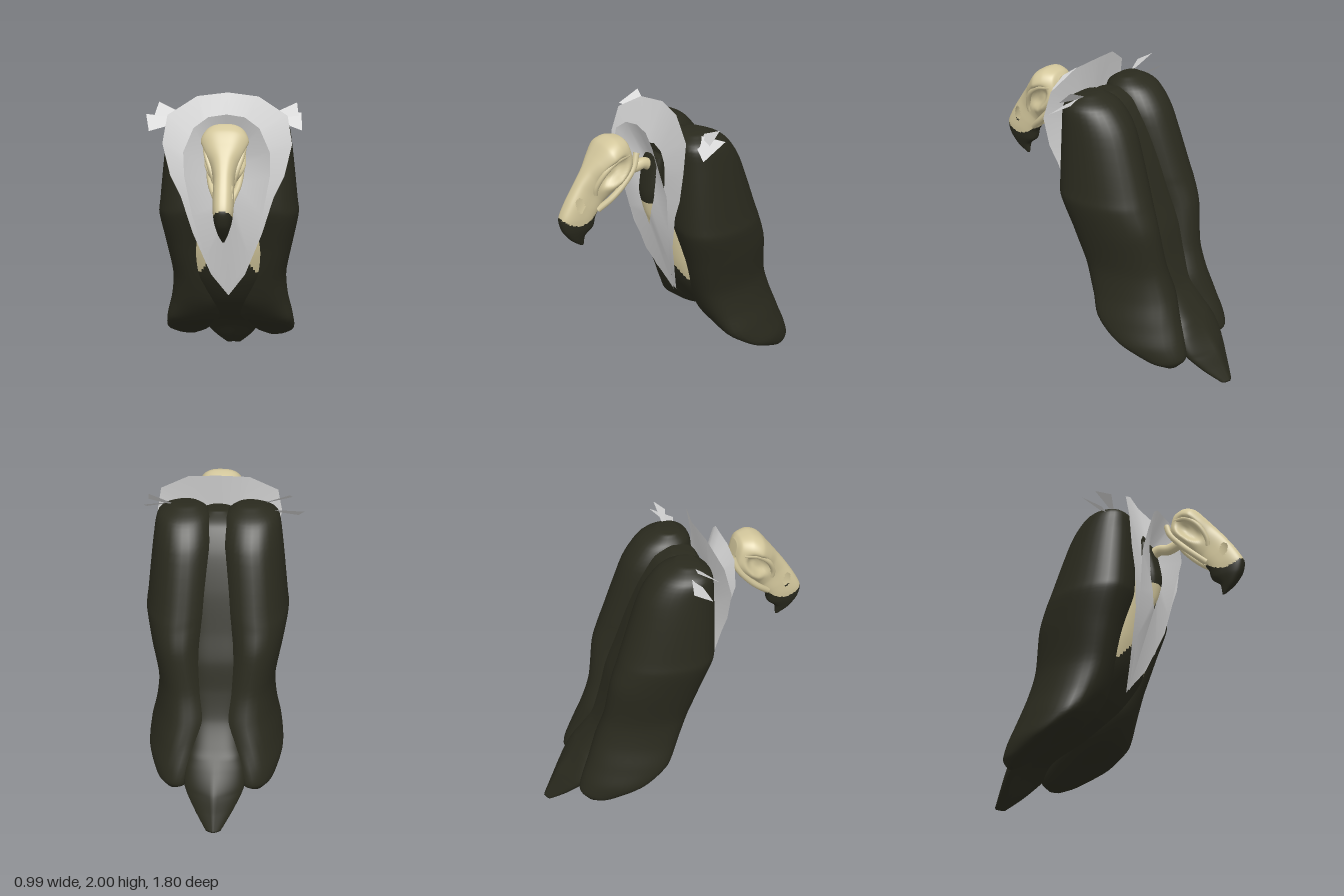
import * as THREE from 'three';

const mat = (name, color) => {
  const m = new THREE.MeshStandardMaterial({ color, side: THREE.DoubleSide });
  m.name = name;
  return m;
};

// Lofts rings between a front rail and a back rail.
// Station: [front z, front y, back z, back y, x min, x max].
// pick(centroid) gives the material index of a quad, or -1 for a hole.
function loft(stations, { steps = 40, sides = 32, power = 0.85, pick = () => 0, warp = () => {} } = {}) {
  const rail = (x, y, z) => new THREE.CatmullRomCurve3(
    stations.map(s => new THREE.Vector3(s[x], s[y], s[z])), false, 'catmullrom', 0.4);
  const front = rail(4, 1, 0), back = rail(5, 3, 2);
  const bend = v => Math.sign(v) * Math.abs(v) ** power;
  const pts = [];
  for (let i = 0; i <= steps; i++) {
    const f = front.getPoint(i / steps), b = back.getPoint(i / steps);
    for (let j = 0; j < sides; j++) {
      const a = (j / sides) * Math.PI * 2, c = bend(Math.cos(a)), s = bend(Math.sin(a));
      const p = new THREE.Vector3(
        (f.x + b.x) / 2 + c * (b.x - f.x) / 2,
        (f.y + b.y) / 2 + s * (f.y - b.y) / 2,
        (f.z + b.z) / 2 + s * (f.z - b.z) / 2);
      warp(p);
      pts.push(p);
    }
  }
  const lists = [[], []];
  const add = (...ids) => {
    const c = new THREE.Vector3();
    ids.forEach(i => c.addScaledVector(pts[i], 1 / ids.length));
    const k = pick(c);
    if (k < 0) return;
    lists[k].push(ids[0], ids[1], ids[2]);
    if (ids.length === 4) lists[k].push(ids[0], ids[2], ids[3]);
  };
  for (let i = 0; i < steps; i++) for (let j = 0; j < sides; j++) {
    const n = (j + 1) % sides, r = i * sides;
    add(r + j, r + n, r + sides + n, r + sides + j);
  }
  // end caps
  for (const start of [0, steps * sides]) {
    const c = new THREE.Vector3();
    for (let j = 0; j < sides; j++) c.addScaledVector(pts[start + j], 1 / sides);
    const id = pts.push(c) - 1;
    for (let j = 0; j < sides; j++) {
      const a = start + j, b = start + (j + 1) % sides;
      start === 0 ? add(id, b, a) : add(id, a, b);
    }
  }
  const g = new THREE.BufferGeometry().setFromPoints(pts);
  g.setIndex([...lists[0], ...lists[1]]);
  g.addGroup(0, lists[0].length, 0);
  g.addGroup(lists[0].length, lists[1].length, 1);
  g.computeVertexNormals();
  return g;
}

// Closed band between an outer rim and a neck hole, mirrored in x.
function collar(rim, hole) {
  const ring = half => [...half, ...half.slice(1, -1).reverse().map(([x, y, z]) => [-x, y, z])];
  const o = ring(rim), h = ring(hole), n = o.length, idx = [];
  for (let i = 0; i < n; i++) {
    const k = (i + 1) % n;
    idx.push(i, n + i, k, k, n + i, n + k);
  }
  const g = new THREE.BufferGeometry();
  g.setAttribute('position', new THREE.Float32BufferAttribute([...o, ...h].flat(), 3));
  g.setIndex(idx);
  g.computeVertexNormals();
  return g;
}

// Flat feather fanning out from a narrow base.
function feather(base, tipA, tipB) {
  const [b, A, B] = [base, tipA, tipB].map(p => new THREE.Vector3(...p));
  const half = B.clone().sub(A).multiplyScalar(0.14);
  const g = new THREE.BufferGeometry().setFromPoints([b.clone().sub(half), b.clone().add(half), B, A]);
  g.setIndex([0, 1, 2, 0, 2, 3]);
  g.computeVertexNormals();
  return g;
}

export function createModel() {
  const plumage = mat('darkPlumage', 0x2a2a1e);
  const bone = mat('bone', 0xd3c79c);
  const white = mat('whiteRuff', 0xdadada);
  const model = new THREE.Group();
  const bird = new THREE.Group();
  bird.name = 'bird';
  bird.position.x = 0.03;
  model.add(bird);
  const part = (name, geo, material) => {
    const m = new THREE.Mesh(geo, material);
    m.name = name;
    bird.add(m);
  };
  const { clamp } = THREE.MathUtils;

  // body and pointed tail, with a pale breast
  const bodyRows = [
    [0.17, 1.8, 0.03, 1.82, 0.07], [0.2, 1.75, -0.07, 1.76, 0.2], [0.21, 1.6, -0.16, 1.62, 0.26],
    [0.21, 1.4, -0.25, 1.4, 0.28], [0.2, 1.15, -0.335, 1.15, 0.28], [0.165, 0.95, -0.4, 0.97, 0.29],
    [0.095, 0.76, -0.45, 0.78, 0.28], [-0.04, 0.56, -0.515, 0.6, 0.22], [-0.27, 0.4, -0.61, 0.45, 0.2],
    [-0.56, 0.29, -0.7, 0.33, 0.2], [-0.69, 0.2, -0.79, 0.21, 0.19], [-0.78, 0.09, -0.845, 0.1, 0.125],
    [-0.86, 0, -0.895, 0, 0.05]];
  part('body', loft(bodyRows.map(r => [...r.slice(0, 4), -r[4], r[4]]), {
    steps: 110, sides: 96, power: 0.72,
    warp: p => { p.z += 0.35 * Math.abs(p.x) * clamp((0.4 - p.y) / 0.2, 0, 1); },
    pick: c => (c.y > 0.77 + 1.1 * Math.max(0, 0.235 - Math.abs(c.x)) && c.y < 1.4 && c.z > 0 ? 1 : 0),
  }), [plumage, bone]);

  // folded wings, outer side swept forward
  const wing = [
    [0.13, 1.855, 0, 1.865, 0.12, 0.28], [0.2, 1.8, -0.13, 1.8, 0.05, 0.375], [0.215, 1.65, -0.24, 1.65, 0.02, 0.405],
    [0.215, 1.3, -0.365, 1.3, 0.03, 0.445], [0.2, 1.2, -0.4, 1.2, 0.04, 0.455], [0.135, 1, -0.45, 1.05, 0.06, 0.425],
    [0.065, 0.76, -0.49, 0.78, 0.03, 0.38], [-0.01, 0.57, -0.55, 0.6, 0, 0.395], [-0.13, 0.42, -0.61, 0.45, 0.04, 0.43],
    [-0.35, 0.3, -0.67, 0.31, 0.1, 0.44], [-0.55, 0.19, -0.695, 0.215, 0.17, 0.38], [-0.62, 0.155, -0.66, 0.16, 0.25, 0.31]];
  const wingShape = {
    steps: 55, power: 0.92,
    warp: p => {
      const t = clamp((Math.abs(p.x) - 0.2) / 0.25, 0, 1);
      p.z += t * t * (0.06 + 0.12 * clamp((1 - p.y) / 0.6, 0, 1));
    },
  };
  part('leftWing', loft(wing, wingShape), plumage);
  part('rightWing', loft(wing.map(r => [...r.slice(0, 4), -r[5], -r[4]]), wingShape), plumage);

  // neck base and neck
  const stump = [[0.25, 1.68, 0.19, 1.68, -0.09, 0.09], [0.28, 1.6, 0.18, 1.6, -0.09, 0.09],
    [0.312, 1.43, 0.18, 1.43, -0.08, 0.08], [0.285, 1.28, 0.16, 1.28, -0.045, 0.045], [0.23, 1.18, 0.15, 1.18, -0.015, 0.015]];
  part('neckBase', loft(stump, { steps: 20, sides: 20, pick: c => (c.y < 1.38 ? 1 : 0) }), [plumage, bone]);
  const neckPath = new THREE.CatmullRomCurve3([[1.58, 0.22], [1.63, 0.3], [1.62, 0.38], [1.66, 0.48]]
    .map(([y, z]) => new THREE.Vector3(0, y, z)));
  part('neck', new THREE.TubeGeometry(neckPath, 16, 0.036, 14), bone);

  // feather ruff in two layers
  part('outerRuff', collar(
    [[0, 2, 0.155], [0.19, 1.98, 0.185], [0.37, 1.87, 0.24], [0.4, 1.7, 0.28], [0.355, 1.5, 0.275],
      [0.29, 1.36, 0.265], [0.22, 1.12, 0.235], [0.11, 0.82, 0.14], [0, 0.65, 0.055]],
    [[0, 1.74, 0.22], [0.09, 1.72, 0.23], [0.14, 1.66, 0.24], [0.16, 1.56, 0.25], [0.15, 1.44, 0.255],
      [0.12, 1.32, 0.25], [0.08, 1.2, 0.235], [0.04, 1.05, 0.2], [0, 0.95, 0.17]]), white);
  part('innerRuff', collar(
    [[0, 1.89, 0.34], [0.11, 1.875, 0.35], [0.2, 1.81, 0.365], [0.265, 1.66, 0.355], [0.265, 1.5, 0.308],
      [0.22, 1.24, 0.268], [0.14, 0.95, 0.2], [0, 0.66, 0.075]],
    [[0, 1.67, 0.24], [0.045, 1.66, 0.245], [0.07, 1.62, 0.25], [0.075, 1.56, 0.26], [0.07, 1.44, 0.272],
      [0.045, 1.32, 0.275], [0.02, 1.25, 0.268], [0, 1.2, 0.262]]), white);

  // loose feathers on the shoulders
  const blades = [
    ['right', [-0.3, 1.85, 0.1], [-0.44, 1.925, 0.05], [-0.46, 1.85, 0.18]],
    ['right', [-0.32, 1.81, 0.07], [-0.53, 1.84, 0], [-0.5, 1.75, 0.13]],
    ['left', [0.28, 1.84, 0.1], [0.46, 1.86, 0.02], [0.46, 1.77, 0.18]],
    ['left', [0.29, 1.85, 0.06], [0.43, 1.925, 0.04], [0.44, 1.85, 0.12]]];
  blades.forEach(([side, ...p]) => part(side + 'ShoulderFeather', feather(...p), white));

  // skull and hooked beak, with sunken sockets and an open nostril
  const skullRows = [
    [0.44, 1.82, 0.42, 1.72, 0.05], [0.47, 1.85, 0.42, 1.65, 0.1], [0.54, 1.862, 0.46, 1.61, 0.135],
    [0.605, 1.835, 0.51, 1.57, 0.15], [0.665, 1.765, 0.55, 1.53, 0.12], [0.72, 1.695, 0.58, 1.49, 0.08],
    [0.78, 1.615, 0.61, 1.46, 0.062], [0.85, 1.51, 0.64, 1.42, 0.062], [0.9, 1.41, 0.665, 1.38, 0.06],
    [0.885, 1.325, 0.68, 1.32, 0.05], [0.83, 1.25, 0.735, 1.27, 0.03], [0.765, 1.2, 0.745, 1.2, 0.006]];
  const inEllipse = (p, z, y, rz, ry, tilt) => {
    const dz = p.z - z, dy = p.y - y, c = Math.cos(tilt), s = Math.sin(tilt);
    return ((dz * c + dy * s) / rz) ** 2 + ((dy * c - dz * s) / ry) ** 2;
  };
  part('skullAndBeak', loft(skullRows.map(r => [...r.slice(0, 4), -r[4], r[4]]), {
    steps: 110, sides: 80, power: 0.75,
    warp: p => {
      const socket = Math.exp(-(inEllipse(p, 0.57, 1.67, 0.1, 0.055, -0.8) ** 2));
      p.x *= 1 - 0.55 * socket;
    },
    pick: c => {
      if (inEllipse(c, 0.785, 1.49, 0.026, 0.052, -0.15) < 1) return -1;
      return c.y < Math.min(1.415, 1.36 + 4 * (c.z - 0.78) ** 2) ? 1 : 0;
    },
  }), [bone, plumage]);

  // cheek bones and brow ridges
  for (const side of [1, -1]) {
    const bar = (name, pts, r) => {
      const curve = new THREE.CatmullRomCurve3(pts.map(([x, y, z]) => new THREE.Vector3(x * side, y, z)));
      part(name, new THREE.TubeGeometry(curve, 24, r, 10), bone);
    };
    bar('cheekBone', [[0.08, 1.75, 0.4], [0.095, 1.67, 0.43], [0.095, 1.58, 0.5], [0.08, 1.5, 0.58], [0.045, 1.43, 0.66]], 0.02);
    bar('browRidge', [[0.1, 1.76, 0.47], [0.115, 1.75, 0.55], [0.105, 1.69, 0.63], [0.07, 1.59, 0.68], [0.055, 1.54, 0.68]], 0.016);
  }
  return model;
}
